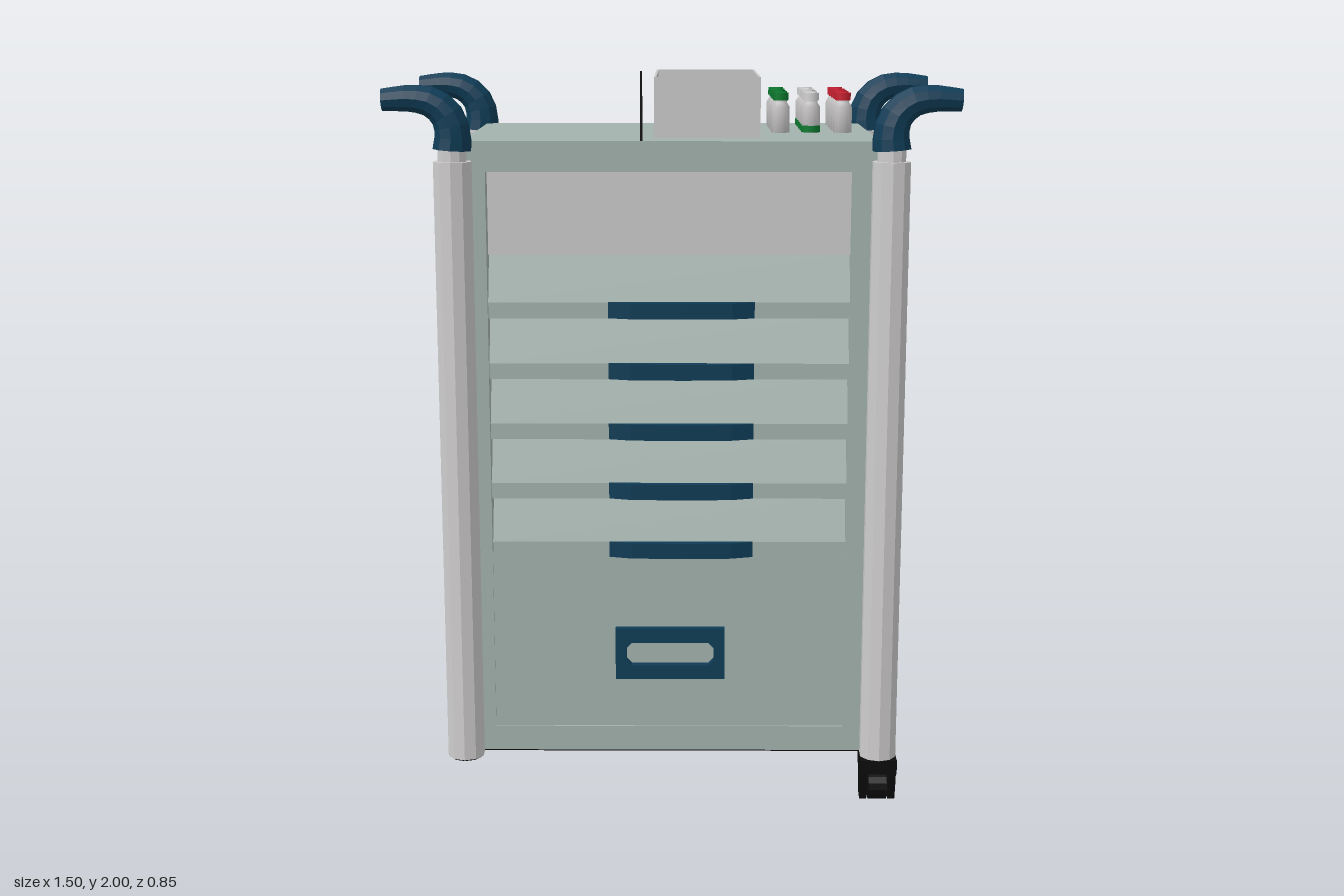
import * as THREE from 'three';

const mat = (name, color, opts = {}) => {
  const m = new THREE.MeshStandardMaterial({ color, ...opts });
  m.name = name;
  return m;
};

export function createModel() {
  const root = new THREE.Group();
  root.name = 'medicalCart';

  const sage = mat('sagePaint', 0xa3b2ad);
  const grey = mat('lightGrey', 0xcbc9c9, { side: THREE.DoubleSide });
  const metal = mat('postMetal', 0xcfcdcd, { flatShading: true });
  const navy = mat('navyPlastic', 0x0f3c56, { flatShading: true });
  const black = mat('blackRubber', 0x0c0c0c, { flatShading: true });
  const red = mat('redCap', 0xc8202f);
  const green = mat('greenCap', 0x0c7a30);
  const white = mat('whiteCap', 0xd2d2d2);

  const add = (parent, name, geo, material, x = 0, y = 0, z = 0) => {
    const m = new THREE.Mesh(geo, material);
    m.name = name;
    m.position.set(x, y, z);
    parent.add(m);
    return m;
  };
  // Box given by its limits on each axis
  const box = (name, material, x0, x1, y0, y1, z0, z1, parent = root) =>
    add(parent, name, new THREE.BoxGeometry(x1 - x0, y1 - y0, z1 - z0), material,
      (x0 + x1) / 2, (y0 + y1) / 2, (z0 + z1) / 2);
  const shapeOf = (pts) => new THREE.Shape(pts.map((p) => new THREE.Vector2(p[0], p[1])));
  const extrude = (shape, depth) =>
    new THREE.ExtrudeGeometry(shape, { depth, bevelEnabled: false, curveSegments: 6 });
  // Profile in (z, y), extruded across x and ending at xRight
  const acrossX = (pts, xLeft, xRight) =>
    extrude(shapeOf(pts), xRight - xLeft).rotateY(-Math.PI / 2).translate(xRight, 0, 0);

  // Cabinet carcass and front frame
  box('cabinetBody', sage, -0.55, 0.545, 0.13, 1.82, -0.36, 0.28);
  box('topLip', sage, -0.55, 0.545, 1.74, 1.82, 0.28, 0.34);
  box('frameRight', sage, -0.55, -0.49, 0.13, 1.74, 0.28, 0.34);
  box('frameLeft', sage, 0.475, 0.545, 0.13, 1.74, 0.28, 0.34);
  box('plinth', sage, -0.49, 0.475, 0.13, 0.2, 0.28, 0.34);
  box('lowerDoor', sage, -0.49, 0.475, 0.2, 0.7, 0.28, 0.335);
  box('recessPanel', grey, -0.49, 0.475, 1.517, 1.74, 0.28, 0.295);
  box('underside', black, -0.54, 0.535, 0.125, 0.13, -0.355, 0.335);

  // Five drawers: sloped face over an upright band, with a bowed pull
  const pullShape = shapeOf([[-0.17, 0.335], [0.22, 0.335], [0.22, 0.345],
    [0.16, 0.362], [0.025, 0.366], [-0.11, 0.362], [-0.17, 0.345]]);
  const pullGeo = extrude(pullShape, 0.043).rotateX(Math.PI / 2);
  for (let i = 0; i < 5; i++) {
    const top = 1.517 - i * 0.165;
    const profile = [[0.27, top], [0.27, top - 0.165], [0.342, top - 0.165],
      [0.342, top - 0.122], [0.295, top]];
    add(root, 'drawer', acrossX(profile, -0.488, 0.473), sage);
    add(root, 'drawerPull', pullGeo, navy, 0, top - 0.121, 0);
  }

  // Framed grip on the lower door
  const grip = shapeOf([[-0.155, 0.345], [0.145, 0.345], [0.145, 0.49], [-0.155, 0.49]]);
  grip.holes.push(new THREE.Path([[-0.125, 0.4], [-0.125, 0.435], [-0.11, 0.45], [0.1, 0.45],
    [0.115, 0.435], [0.115, 0.4], [0.1, 0.385], [-0.11, 0.385]].map((p) => new THREE.Vector2(...p))));
  add(root, 'doorGrip', extrude(grip, 0.025), navy, 0, 0, 0.333);

  // Seams on the back panel
  box('backSeam', black, -0.5, 0.47, 1.378, 1.384, -0.362, -0.36);
  for (const x of [-0.5, 0.47]) box('backSeamEnd', black, x - 0.003, x + 0.003, 1.38, 1.49, -0.362, -0.36);

  // Tapered, outward-curving corner handle
  const curve = new THREE.CatmullRomCurve3([[0, 1.8], [-0.003, 1.845], [0.012, 1.89],
    [0.05, 1.922], [0.1, 1.932], [0.178, 1.928]].map(([x, y]) => new THREE.Vector3(x, y, 0)));
  const SEG = 9, SIDES = 10;
  const handleGeo = new THREE.TubeGeometry(curve, SEG, 1, SIDES, false);
  const pos = handleGeo.attributes.position;
  const v = new THREE.Vector3();
  const radiusAt = (t) => 0.051 - 0.021 * t;
  for (let i = 0; i < pos.count; i++) {
    const t = Math.floor(i / (SIDES + 1)) / SEG;
    const c = curve.getPointAt(t);
    v.fromBufferAttribute(pos, i).sub(c).multiplyScalar(radiusAt(t)).add(c);
    pos.setXYZ(i, v.x, v.y, v.z);
  }
  handleGeo.computeVertexNormals();
  const tipGeo = new THREE.CircleGeometry(radiusAt(1), SIDES).rotateY(Math.PI / 2);
  const baseGeo = new THREE.CircleGeometry(radiusAt(0), SIDES).rotateX(Math.PI / 2);

  // Caster: hood, two tapering cheeks and a wheel
  const cheek = [[-0.05, 0.12], [-0.045, 0.075], [-0.025, 0.01], [-0.012, 0.003],
    [0.012, 0.003], [0.025, 0.01], [0.045, 0.075], [0.05, 0.12]];
  const hood = [[-0.05, 0.13], [-0.048, 0.09], [0.048, 0.09], [0.05, 0.13]];
  const makeCaster = () => {
    const g = new THREE.Group();
    g.name = 'caster';
    add(g, 'hood', acrossX(hood, -0.05, 0.05), black);
    for (const x of [-0.048, 0.03]) add(g, 'cheek', acrossX(cheek, x, x + 0.018), black);
    add(g, 'wheel', new THREE.CylinderGeometry(0.04, 0.04, 0.05, 14).rotateZ(Math.PI / 2), black, 0, 0.041, 0);
    return g;
  };

  // Corner posts with collars and handles; casters on the left pair only
  const postGeo = new THREE.CylinderGeometry(0.051, 0.051, 1.64, 10);
  const collarGeo = new THREE.CylinderGeometry(0.038, 0.038, 0.035, 10);
  for (const side of [-1, 1]) {
    for (const z of [0.37, -0.38]) {
      const corner = new THREE.Group();
      corner.name = 'cornerPost';
      corner.position.set(side * 0.571, 0, z);
      add(corner, 'post', postGeo, metal, 0, 0.95, 0);
      add(corner, 'collar', collarGeo, metal, 0, 1.785, 0);
      const handle = new THREE.Group();
      handle.name = 'handle';
      handle.rotation.y = side > 0 ? 0 : Math.PI;
      add(handle, 'handleTube', handleGeo, navy);
      add(handle, 'handleTip', tipGeo, navy, 0.178, 1.928, 0);
      add(handle, 'handleBase', baseGeo, navy, 0, 1.8, 0);
      corner.add(handle);
      if (side > 0) corner.add(makeCaster());
      else add(corner, 'postFoot', new THREE.CylinderGeometry(0.045, 0.045, 0.005, 10), black, 0, 0.128, 0);
      root.add(corner);
    }
  }

  // Thin upright rod at the front edge
  box('rod', black, -0.083, -0.077, 1.82, 2.0, 0.335, 0.341);

  // Open tray
  const tray = new THREE.Group();
  tray.name = 'tray';
  root.add(tray);
  box('trayFloor', grey, -0.048, 0.235, 1.821, 1.829, -0.27, 0.235, tray);
  for (const x of [-0.048, 0.229]) box('traySide', grey, x, x + 0.006, 1.821, 1.98, -0.27, 0.235, tray);
  for (const z of [-0.27, 0.229]) box('trayEnd', grey, -0.042, 0.229, 1.821, 1.98, z, z + 0.006, tray);
  // Small dotted marks on the tray floor
  for (const cx of [-0.005, 0.075, 0.155, 0.21])
    for (let i = 0; i < 9; i++) {
      const x = cx + ((i % 3) - 1) * 0.013, z = 0.19 + (Math.floor(i / 3) - 1) * 0.014;
      box('trayMark', black, x - 0.004, x + 0.004, 1.829, 1.831, z - 0.005, z + 0.005, tray);
    }

  // Rows of capped vials, inside the tray and beside it
  const vialGeo = new THREE.LatheGeometry([[0, 0], [0.025, 0], [0.025, 0.068], [0.017, 0.08],
    [0.017, 0.088]].map((p) => new THREE.Vector2(...p)), 12);
  const capGeo = new THREE.CylinderGeometry(0.021, 0.021, 0.02, 12);
  const ringGeo = new THREE.CylinderGeometry(0.026, 0.026, 0.018, 12);
  const columns = [[-0.007, red], [0.073, white], [0.155, green], [0.292, green], [0.374, white], [0.46, red]];
  for (const [x, cap] of columns) {
    for (const z of [-0.15, -0.075, -0.002, 0.067, 0.14]) {
      const vial = new THREE.Group();
      vial.name = 'vial';
      vial.position.set(x, 1.829, z);
      add(vial, 'vialBody', vialGeo, grey);
      add(vial, 'vialCap', capGeo, cap, 0, 0.096, 0);
      if (cap === white) add(vial, 'vialRing', ringGeo, green, 0, 0.01, 0);
      root.add(vial);
    }
  }
  return root;
}
